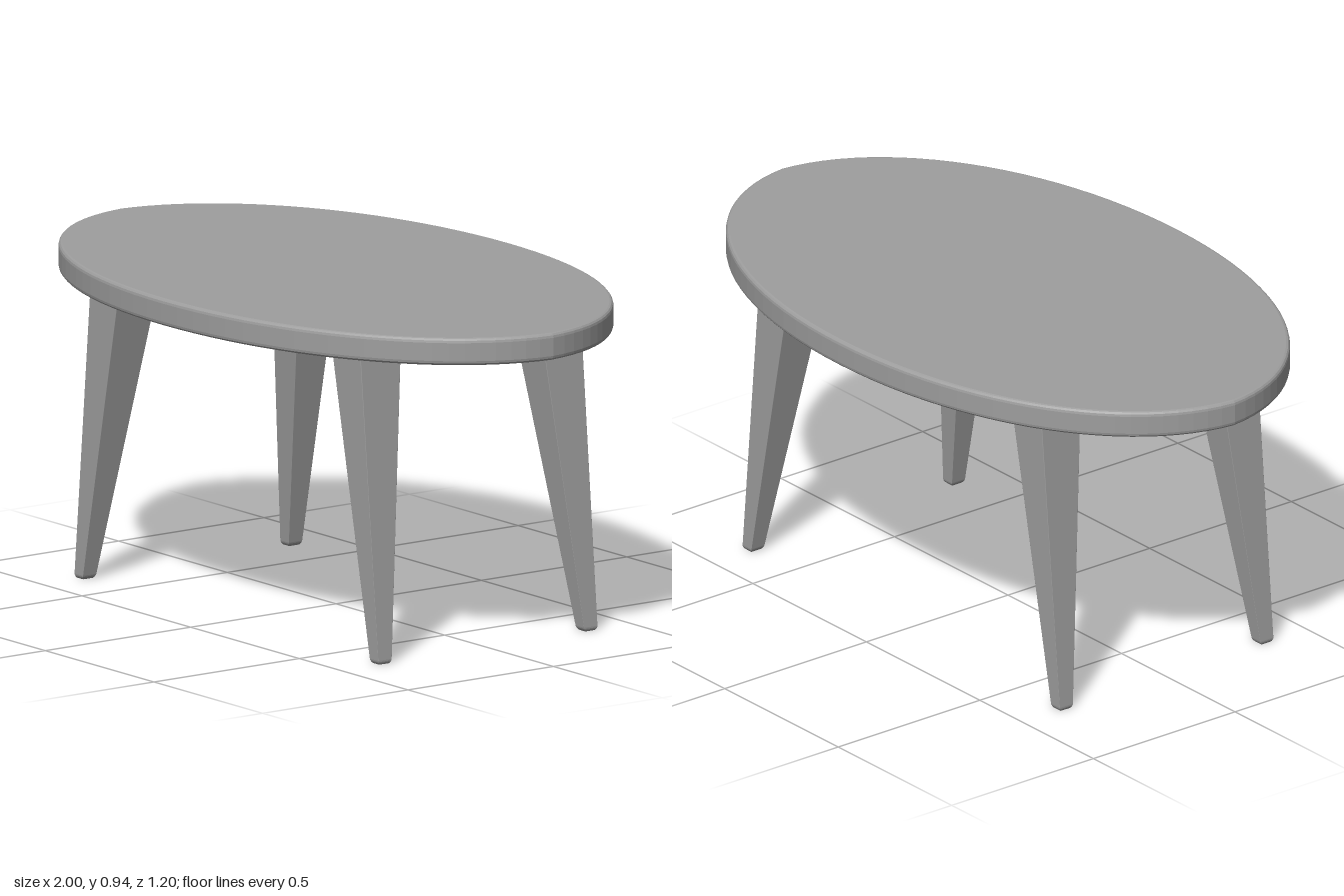
import * as THREE from 'three';
import { RoundedBoxGeometry } from 'three/addons/geometries/RoundedBoxGeometry.js';

const material = new THREE.MeshStandardMaterial({ color: 0x9e9e9e });
const lerp = THREE.MathUtils.lerp;
const UNDERSIDE = 0.863;

// Oval slab with faintly pointed ends and a softened, finely faceted rim
function createTop() {
  const s = new THREE.Shape();
  s.moveTo(1, 0);
  s.bezierCurveTo(0.97, 0.34, 0.56, 0.6, 0, 0.6);
  s.bezierCurveTo(-0.56, 0.6, -0.97, 0.34, -1, 0);
  s.bezierCurveTo(-0.97, -0.34, -0.56, -0.6, 0, -0.6);
  s.bezierCurveTo(0.56, -0.6, 0.97, -0.34, 1, 0);
  const thickness = 0.077, bevel = 0.013;
  const geo = new THREE.ExtrudeGeometry(s, {
    depth: thickness - 2 * bevel, curveSegments: 24,
    bevelEnabled: true, bevelThickness: bevel, bevelSize: 0.011, bevelOffset: -0.011, bevelSegments: 3,
  });
  geo.rotateX(-Math.PI / 2);
  geo.translate(0, UNDERSIDE + bevel, 0);
  const mesh = new THREE.Mesh(geo, material);
  mesh.name = 'tableTop';
  return mesh;
}

// Square leg tapering towards a small foot that splays outwards
function createLeg(sx, sz) {
  const height = 0.885;
  const geo = new RoundedBoxGeometry(1, height, 1, 3, 0.012);
  const p = geo.attributes.position;
  for (let i = 0; i < p.count; i++) {
    const y = p.getY(i) + height / 2;
    const t = y / UNDERSIDE;
    const inX = lerp(0.662, 0.488, t), outX = lerp(0.7, 0.62, t);
    const inZ = lerp(0.332, 0.24, t), outZ = lerp(0.377, 0.38, t);
    // Near the foot, draw the sides in to round off the end
    const round = 1 - 0.25 * Math.pow(Math.max(0, 1 - y / 0.012), 2);
    p.setXYZ(i,
      sx * (inX + outX) / 2 + p.getX(i) * (outX - inX) * round,
      y,
      sz * (inZ + outZ) / 2 + p.getZ(i) * (outZ - inZ) * round);
  }
  geo.computeVertexNormals();
  const mesh = new THREE.Mesh(geo, material);
  mesh.name = (sz > 0 ? 'front' : 'back') + (sx > 0 ? 'Left' : 'Right') + 'Leg';
  return mesh;
}

export function createModel() {
  const table = new THREE.Group();
  table.name = 'ovalTable';
  table.add(createTop());
  for (const sx of [-1, 1]) for (const sz of [-1, 1]) table.add(createLeg(sx, sz));
  return table;
}
